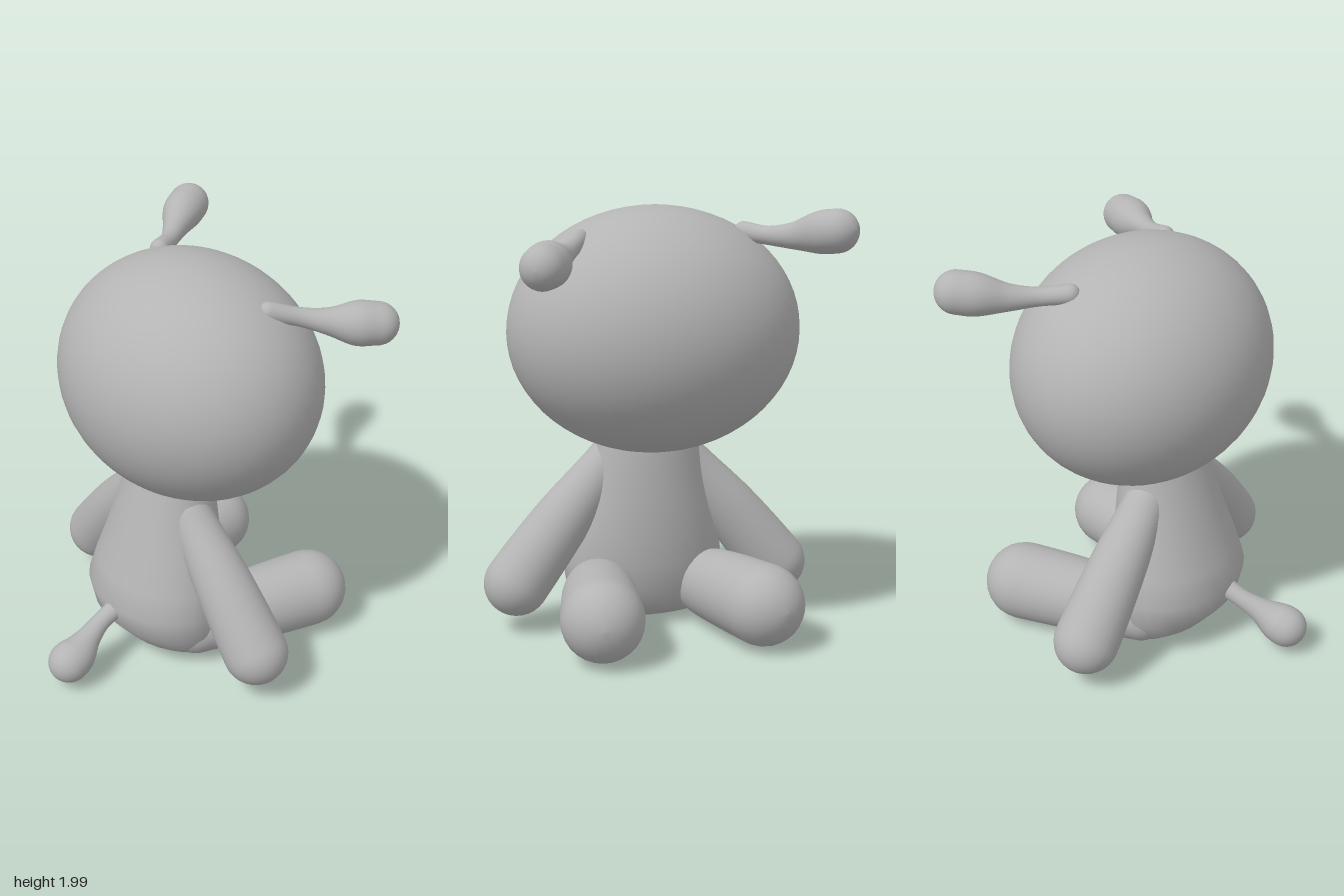
import * as THREE from 'three';

const SIDES = 28;
const gray = new THREE.MeshStandardMaterial({ color: 0xb4b4b4 });
gray.name = 'soft gray';

// Smooth closed skin over rings { c: centre, u, v: half axes }, with u x v along the path
function loft(rings) {
  const pos = [], idx = [];
  const p = new THREE.Vector3();
  rings.forEach(({ c, u, v }) => {
    for (let i = 0; i < SIDES; i++) {
      const a = (i / SIDES) * Math.PI * 2;
      p.copy(c).addScaledVector(u, Math.cos(a)).addScaledVector(v, Math.sin(a));
      pos.push(p.x, p.y, p.z);
    }
  });
  for (let r = 0; r < rings.length - 1; r++) {
    for (let i = 0; i < SIDES; i++) {
      const j = (i + 1) % SIDES, a = r * SIDES + i, a1 = r * SIDES + j;
      idx.push(a, a1, a + SIDES, a1, a1 + SIDES, a + SIDES);
    }
  }
  const g = new THREE.BufferGeometry();
  g.setAttribute('position', new THREE.Float32BufferAttribute(pos, 3));
  g.setIndex(idx);
  g.computeVertexNormals();
  return g;
}

// Round-ended limb through stations [x, y, z, radius]
function limb(stations, steps = 20) {
  const curve = new THREE.CatmullRomCurve3(stations.map(s => new THREE.Vector3(s[0], s[1], s[2])));
  const radii = new THREE.SplineCurve(stations.map((s, i) => new THREE.Vector2(i, s[3])));
  const frames = curve.computeFrenetFrames(steps, false);
  const rings = [];
  const add = (k, shift, scale) => {
    const t = curve.getUtoTmapping(k / steps);
    const r = radii.getPoint(t).y;
    rings.push({
      c: curve.getPoint(t).addScaledVector(frames.tangents[k], shift * r),
      u: frames.normals[k].clone().multiplyScalar(r * scale),
      v: frames.binormals[k].clone().multiplyScalar(r * scale),
    });
  };
  const CAP = 8;
  const angle = i => Math.max(0.01, (i / CAP) * Math.PI / 2);
  for (let i = 0; i < CAP; i++) add(0, -Math.cos(angle(i)), Math.sin(angle(i)));
  for (let k = 0; k <= steps; k++) add(k, 0, 1);
  for (let i = CAP - 1; i >= 0; i--) add(steps, Math.cos(angle(i)), Math.sin(angle(i)));
  return loft(rings);
}

// Pear-shaped torso from elliptical sections [y, back x, front x, half depth in z]
function torso() {
  const s = [
    [0.008, -0.085, -0.075, 0.01], [0.012, -0.13, -0.02, 0.18], [0.04, -0.19, 0.07, 0.27],
    [0.1, -0.275, 0.14, 0.33], [0.2, -0.36, 0.185, 0.38], [0.32, -0.39, 0.2, 0.39],
    [0.45, -0.35, 0.206, 0.365], [0.6, -0.3, 0.205, 0.32], [0.8, -0.24, 0.195, 0.265],
    [0.95, -0.19, 0.185, 0.235], [1.1, -0.15, 0.16, 0.2],
  ];
  return loft(s.map(([y, x0, x1, rz]) => ({
    c: new THREE.Vector3((x0 + x1) / 2, y, 0),
    u: new THREE.Vector3(0, 0, rz),
    v: new THREE.Vector3((x1 - x0) / 2, 0, 0),
  })));
}

export function createModel() {
  const model = new THREE.Group();
  model.name = 'sittingFigure';
  const add = (name, geometry) => {
    const mesh = new THREE.Mesh(geometry, gray);
    mesh.name = name;
    model.add(mesh);
    return mesh;
  };

  // Large egg-shaped head
  const head = add('head', new THREE.SphereGeometry(1, 48, 32));
  head.scale.set(0.575, 0.57, 0.685);
  head.position.set(0.105, 1.43, 0);

  add('torso', torso());

  // Arms hanging outward and legs stretched toward +x
  for (const [side, z] of [['Near', 1], ['Far', -1]]) {
    add('arm' + side, limb([
      [-0.03, 0.8, 0.18 * z, 0.105], [-0.01, 0.52, 0.42 * z, 0.138], [0.012, 0.24, 0.645 * z, 0.155],
    ]));
    add('leg' + side, limb([
      [-0.03, 0.175, 0.24 * z, 0.145], [0.2, 0.195, 0.295 * z, 0.175], [0.57, 0.21, 0.38 * z, 0.19],
    ]));
  }

  // Antennae with bulb tips, one drooping lower than the other
  add('antennaNear', limb([
    [0.235, 1.865, 0.39, 0.045], [0.36, 1.83, 0.465, 0.043], [0.46, 1.808, 0.535, 0.062],
    [0.56, 1.795, 0.6, 0.1], [0.645, 1.787, 0.65, 0.098],
  ], 28));
  add('antennaFar', limb([
    [0.225, 1.88, -0.39, 0.045], [0.34, 1.868, -0.465, 0.043], [0.44, 1.873, -0.55, 0.062],
    [0.54, 1.893, -0.63, 0.095], [0.62, 1.905, -0.68, 0.098],
  ], 28));

  // Tail with bulb tip
  add('tail', limb([
    [-0.32, 0.3, 0.02, 0.05], [-0.44, 0.25, 0.025, 0.045], [-0.53, 0.205, 0.045, 0.06],
    [-0.61, 0.16, 0.065, 0.093], [-0.665, 0.14, 0.072, 0.1],
  ], 28));

  return model;
}
